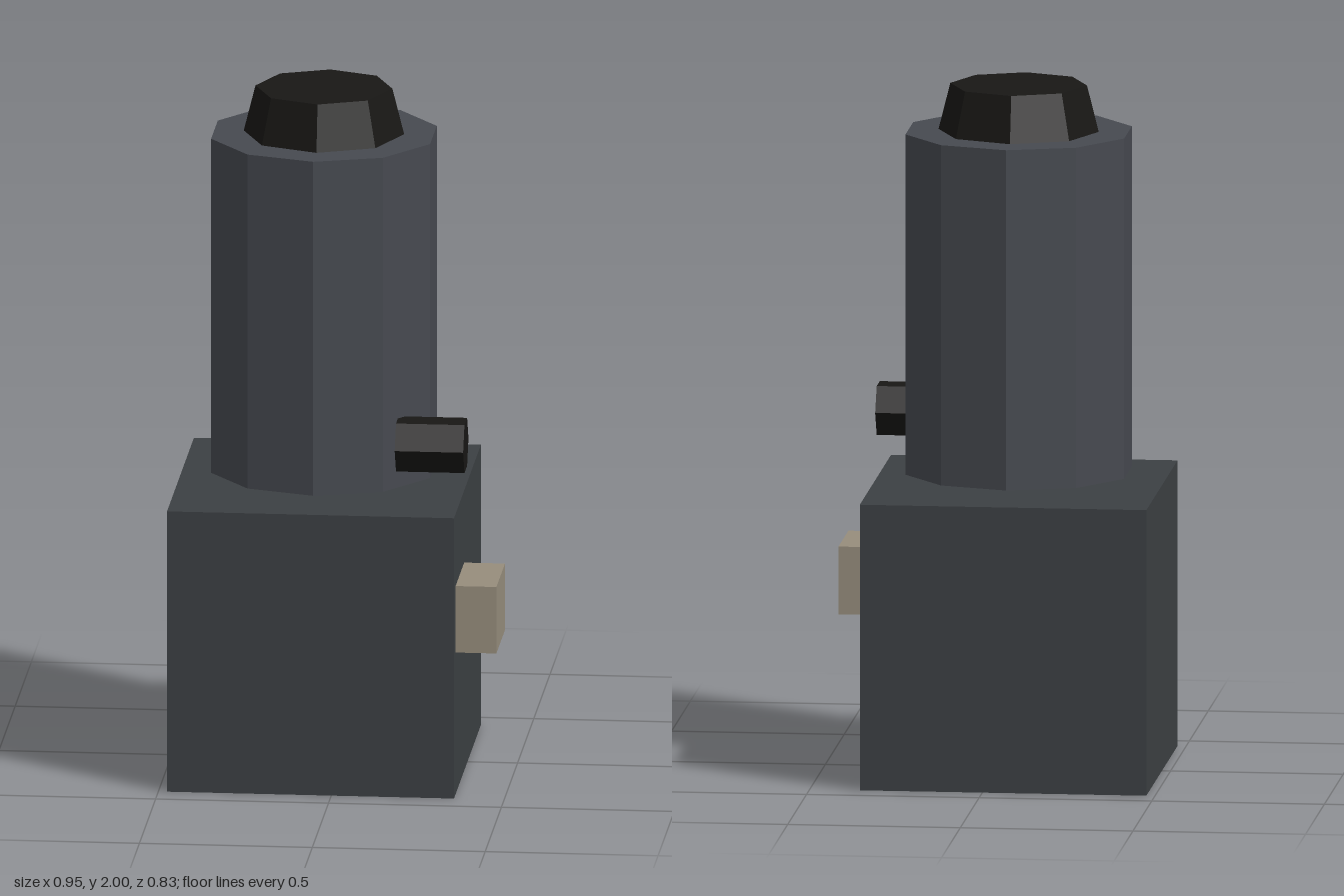
import * as THREE from 'three';

export function createModel() {
  const group = new THREE.Group();
  const add = (name, geometry, color, x, y, z) => {
    const material = new THREE.MeshStandardMaterial({ color, flatShading: true });
    const mesh = new THREE.Mesh(geometry, material);
    mesh.name = name;
    mesh.position.set(x, y, z);
    group.add(mesh);
    return mesh;
  };
  const axisX = -0.06;

  // Square base with a small block on its left side
  add('base', new THREE.BoxGeometry(0.83, 0.835, 0.83), 0x3c4043, axisX, 0.4175, 0);
  add('sideBlock', new THREE.BoxGeometry(0.15, 0.198, 0.265), 0x968d7c, 0.398, 0.521, 0.233);

  // Ten-sided column, floating just above the base
  add('column', new THREE.CylinderGeometry(0.333, 0.333, 0.995, 10), 0x464950, axisX, 1.3675, 0);

  // Tapered eight-sided cap
  add('cap', new THREE.CylinderGeometry(0.198, 0.232, 0.135, 8), 0x181715, axisX, 1.9325, 0);

  // Six-sided knob pointing sideways out of the column
  const knob = add('knob', new THREE.CylinderGeometry(0.0825, 0.0825, 0.198, 6), 0x181715, 0.273, 1.004, 0.232);
  knob.rotation.z = Math.PI / 2;

  return group;
}
